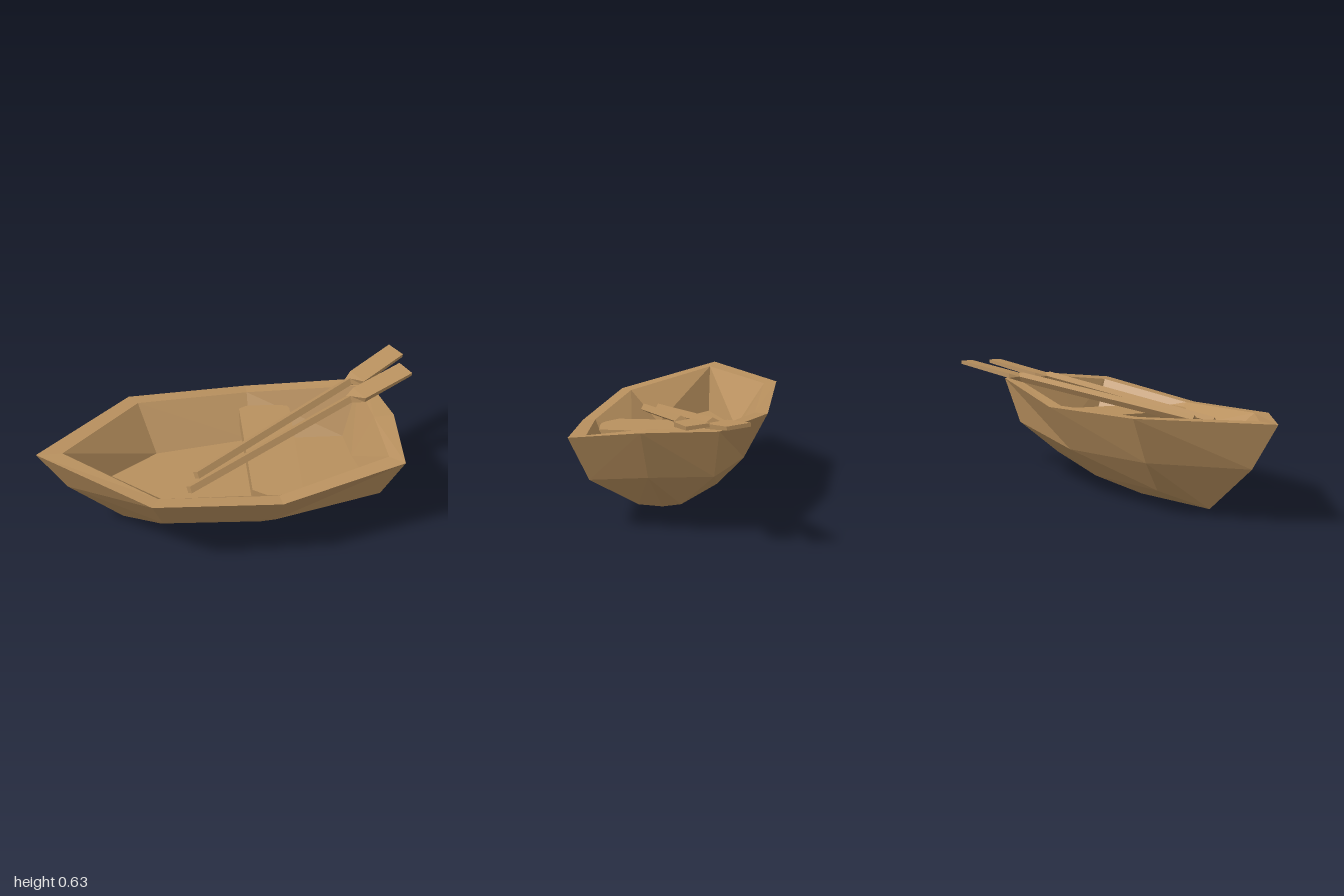
import * as THREE from 'three';

const wood = new THREE.MeshStandardMaterial({ color: 0xb8905e, flatShading: true });

// Skin between successive rings of equal point count; single-point rings close the ends.
// The first half of each band is split along the opposite diagonal, so both sides mirror.
function loft(rings) {
  const n = Math.max(...rings.map(r => r.length));
  const pos = [];
  const at = (r, i) => r[i % r.length];
  for (let k = 0; k < rings.length - 1; k++) {
    for (let i = 0; i < n; i++) {
      const [a, b] = [rings[k], rings[k + 1]];
      const [a0, a1, b0, b1] = [at(a, i), at(a, i + 1), at(b, i), at(b, i + 1)];
      const flip = i < n / 2;
      if (b.length > 1) pos.push(...(flip && a.length > 1 ? a1 : a0), ...b0, ...b1);
      if (a.length > 1) pos.push(...a0, ...(flip ? b0 : b1), ...a1);
    }
  }
  const g = new THREE.BufferGeometry();
  g.setAttribute('position', new THREE.Float32BufferAttribute(pos, 3));
  g.computeVertexNormals();
  return g;
}

function add(group, name, geometry) {
  const mesh = new THREE.Mesh(geometry, wood);
  mesh.name = name;
  group.add(mesh);
}

// Rings run bow, front side, stern, back side
function hullGeometry() {
  const f = 0.28;
  const floor = [[-0.73, f, 0.09], [-0.36, f, 0.28], [0.12, f, 0.28], [0.66, f, 0.18],
    [0.63, f, 0], [0.62, f, -0.19], [0.12, f, -0.22], [-0.39, f, -0.15]];
  const innerRim = [[-0.87, 0.515, 0.12], [-0.42, 0.445, 0.46], [0.17, 0.41, 0.46], [0.75, 0.475, 0.295],
    [0.735, 0.52, 0], [0.71, 0.53, -0.29], [0.12, 0.485, -0.37], [-0.47, 0.515, -0.29]];
  const outerRim = [[-1, 0.52, 0.125], [-0.455, 0.445, 0.525], [0.18, 0.405, 0.525], [0.82, 0.475, 0.36],
    [0.84, 0.525, 0], [0.765, 0.538, -0.35], [0.12, 0.485, -0.437], [-0.515, 0.52, -0.35]];
  const chine = [[-0.86, 0.285, 0.09], [-0.4, 0.225, 0.37], [0.17, 0.195, 0.375], [0.72, 0.25, 0.295],
    [0.73, 0.285, 0], [0.68, 0.3, -0.305], [0.12, 0.25, -0.317], [-0.475, 0.285, -0.25]];
  const bilge = [[-0.59, 0.037, 0.05], [-0.4, 0.085, 0.2], [0.12, 0.06, 0.215], [0.6, 0.11, 0.09],
    [0.51, 0.08, -0.003], [0.59, 0.125, -0.12], [0.1, 0.095, -0.175], [-0.415, 0.12, -0.14]];
  return loft([[[0.05, f, 0.03]], floor, innerRim, outerRim, chine, bilge, [[-0.04, 0, 0.02]]]);
}

// Plank with clipped corners, tilted to follow the two rims
function seatGeometry() {
  const outline = [[0.05, 0.37], [0.12, 0.42], [0.17, 0.43], [0.3, 0.39],
    [0.34, -0.28], [0.33, -0.31], [0.13, -0.34], [0.07, -0.31]];
  const shape = new THREE.Shape(outline.map(([x, z]) => new THREE.Vector2(x, -z)));
  return new THREE.ExtrudeGeometry(shape, { depth: 0.08, bevelEnabled: false })
    .rotateX(-Math.PI / 2).rotateX(0.05).translate(0, 0.33, 0);
}

// Sections are [x, y, z, width, thickness, roll] from the handle to the blade tip
function oarGeometry(sections) {
  const a = sections[0], b = sections[sections.length - 1];
  const side = new THREE.Vector3(a[2] - b[2], 0, b[0] - a[0]).normalize();
  const rings = sections.map(([x, y, z, w, t, roll]) =>
    [[1, -1], [1, 1], [-1, 1], [-1, -1]].map(([s, u]) => {
      const across = s * w / 2 * Math.cos(roll) - u * t / 2 * Math.sin(roll);
      const up = s * w / 2 * Math.sin(roll) + u * t / 2 * Math.cos(roll);
      return [x + side.x * across, y + up, z + side.z * across];
    }));
  return loft([[a.slice(0, 3)], ...rings, [b.slice(0, 3)]]);
}

export function createModel() {
  const group = new THREE.Group();
  group.name = 'rowingBoat';
  add(group, 'hull', hullGeometry());
  add(group, 'seat', seatGeometry());
  add(group, 'backOar', oarGeometry([
    [-0.215, 0.4, 0.23, 0.04, 0.035, 0.5], [0.66, 0.553, -0.3, 0.04, 0.035, 0.5],
    [0.71, 0.558, -0.322, 0.11, 0.025, -0.1], [0.958, 0.615, -0.485, 0.11, 0.018, -0.1]]));
  add(group, 'frontOar', oarGeometry([
    [-0.26, 0.385, 0.325, 0.04, 0.035, 0.5], [0.63, 0.546, -0.14, 0.04, 0.035, 0.5],
    [0.69, 0.551, -0.168, 0.105, 0.025, -0.1], [0.97, 0.605, -0.305, 0.105, 0.018, -0.1]]));
  return group;
}
